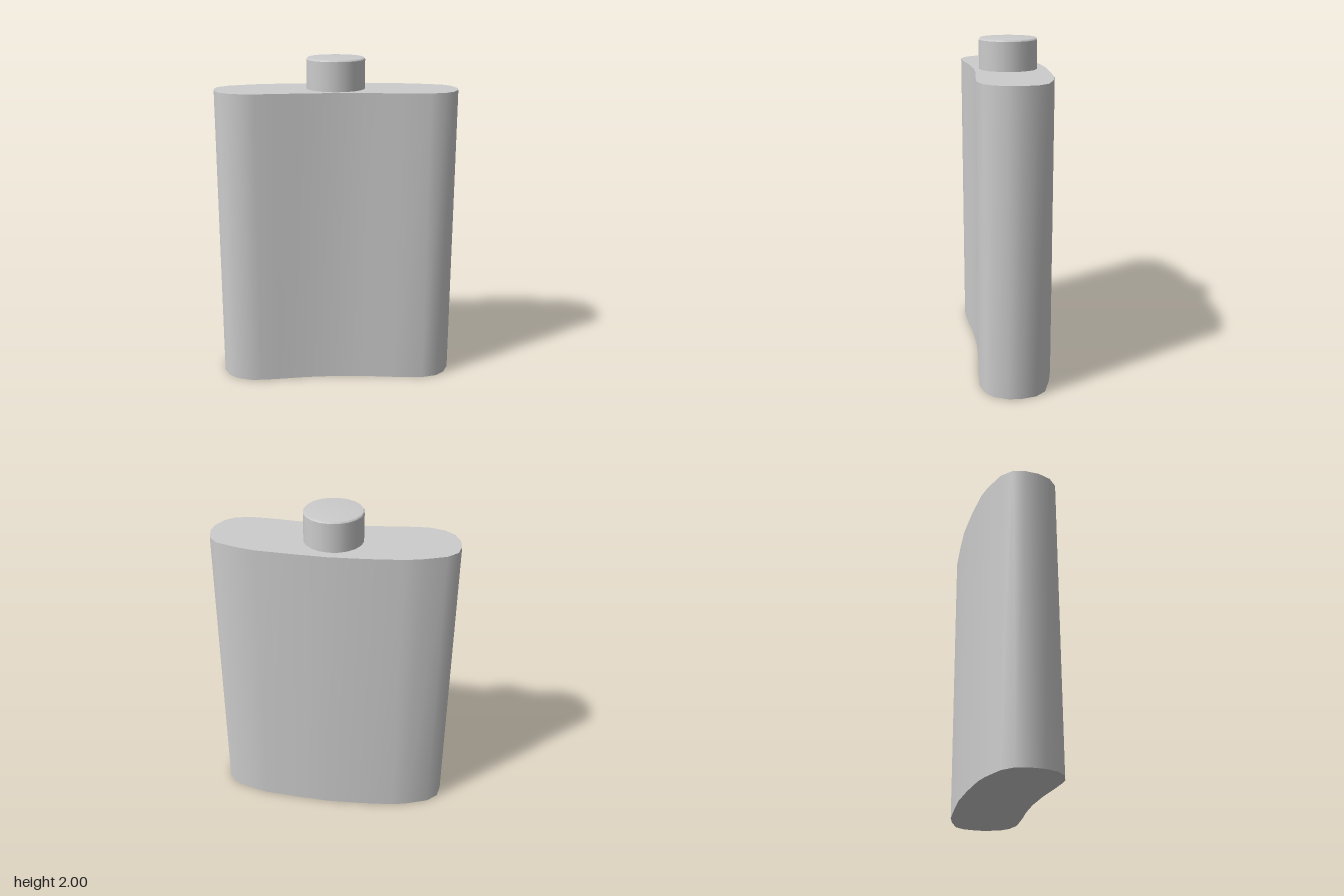
import * as THREE from 'three';

// Body outline as (x, z), along the convex back and then the hollow front
const OUTLINE = [
  [-0.735, 0.01], [-0.72, -0.07], [-0.66, -0.13], [-0.52, -0.185], [-0.43, -0.207],
  [-0.22, -0.23], [0, -0.243], [0.18, -0.237], [0.42, -0.224], [0.53, -0.2],
  [0.66, -0.155], [0.71, -0.095], [0.732, 0], [0.725, 0.07], [0.69, 0.15],
  [0.64, 0.195], [0.545, 0.222], [0.36, 0.215], [0.18, 0.2], [0, 0.196],
  [-0.2, 0.208], [-0.37, 0.23], [-0.48, 0.24], [-0.545, 0.24], [-0.63, 0.215],
  [-0.69, 0.165], [-0.725, 0.09],
];
const BODY_HEIGHT = 1.815;

// Smooth vertical wall around the outline
function wallGeometry() {
  const positions = [];
  const indices = [];
  const n = OUTLINE.length;
  OUTLINE.forEach(([x, z], i) => {
    positions.push(x, 0, z, x, BODY_HEIGHT, z);
    const a = 2 * i;
    const b = 2 * ((i + 1) % n);
    indices.push(a, a + 1, b, b, a + 1, b + 1);
  });
  const geometry = new THREE.BufferGeometry();
  geometry.setAttribute('position', new THREE.Float32BufferAttribute(positions, 3));
  geometry.setIndex(indices);
  geometry.computeVertexNormals();
  return geometry;
}

// Flat end plate, facing up (1) or down (-1)
function endGeometry(facing) {
  const shape = new THREE.Shape(OUTLINE.map(([x, z]) => new THREE.Vector2(x, -z * facing)));
  return new THREE.ShapeGeometry(shape).rotateX(-facing * Math.PI / 2);
}

function latheGeometry(profile) {
  return new THREE.LatheGeometry(profile.map(([r, y]) => new THREE.Vector2(r, y)), 20);
}

export function createModel() {
  const model = new THREE.Group();
  model.name = 'hipFlask';
  const metal = new THREE.MeshStandardMaterial({ color: 0xcccccc });
  metal.name = 'lightGrey';

  const add = (parent, name, geometry) => {
    const mesh = new THREE.Mesh(geometry, metal);
    mesh.name = name;
    parent.add(mesh);
    return mesh;
  };

  // Curved body
  const body = new THREE.Group();
  body.name = 'body';
  add(body, 'bodyWall', wallGeometry());
  add(body, 'bodyTop', endGeometry(1)).position.y = BODY_HEIGHT;
  add(body, 'bodyBottom', endGeometry(-1));

  // Round stopper with a softly shaded top
  const stopper = new THREE.Group();
  stopper.name = 'stopper';
  stopper.position.set(-0.003, 0, -0.01);
  add(stopper, 'stopperSide', latheGeometry([[0.176, BODY_HEIGHT], [0.176, 1.988]]));
  add(stopper, 'stopperTop', latheGeometry([[0.176, 1.988], [0.168, 2], [0, 2]]));

  model.add(body, stopper);
  return model;
}
